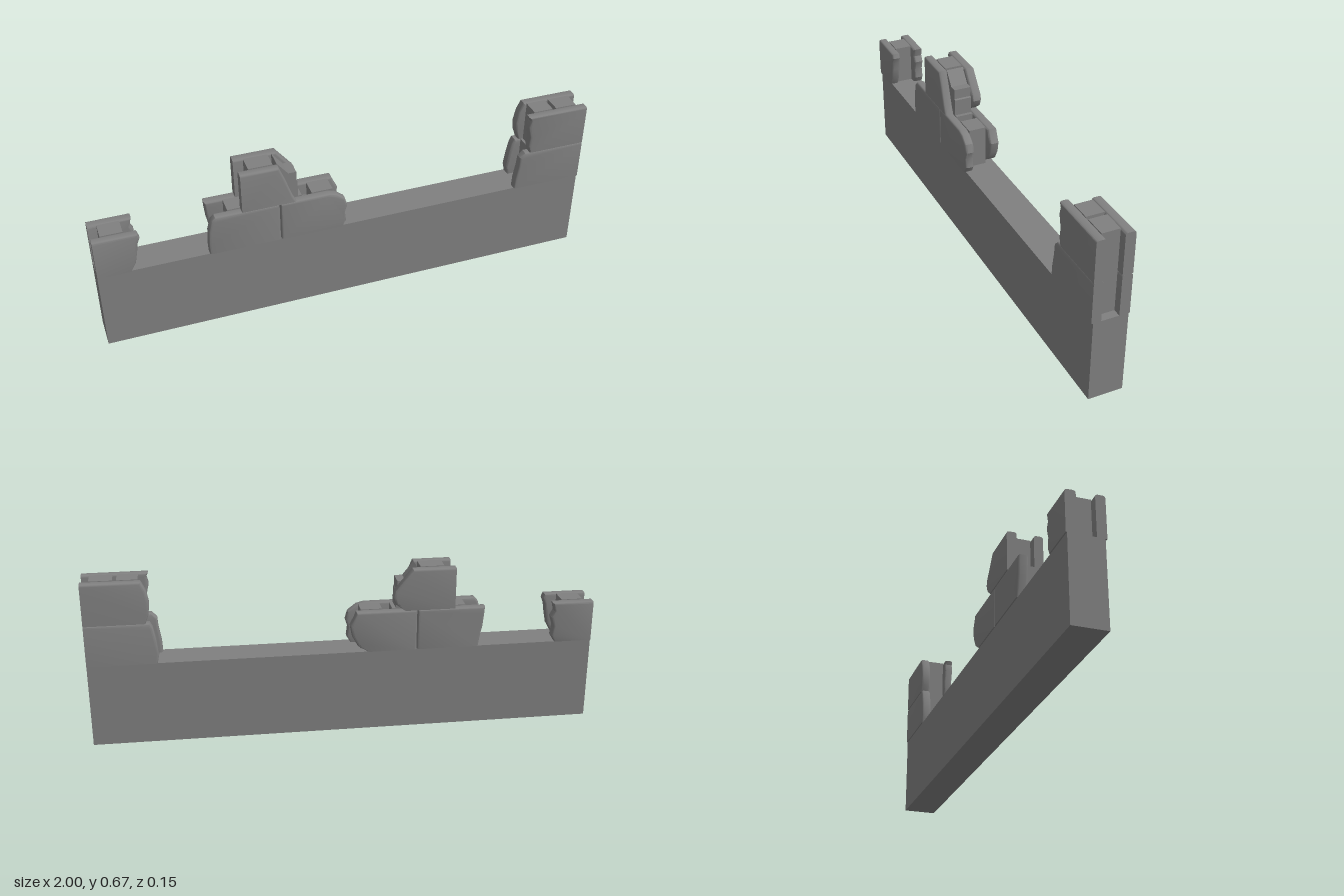
import * as THREE from 'three';
import { toCreasedNormals } from 'three/addons/utils/BufferGeometryUtils.js';

const BASE_TOP = 0.335, MID = 0.5, TOP = 0.667;
const FRONT = [0.037, 0.074], BACK = [-0.072, -0.032], CORE = [-0.033, 0.038];

export function createModel() {
  const model = new THREE.Group();
  model.name = 'brokenBlockWall';
  const concrete = new THREE.MeshStandardMaterial({ color: 0x808080 });
  concrete.name = 'concrete grey';

  // Slab cut from an [x, y] outline; worn edges are rounded, while
  // edges at the flush x and the slab's foot stay crisp.
  function slab(parent, name, points, [z0, z1], bevel = 0.009, flushX = null) {
    const shape = new THREE.Shape(points.map(([x, y]) => new THREE.Vector2(x, y)));
    const geo = new THREE.ExtrudeGeometry(shape, {
      depth: z1 - z0 - 2 * bevel, bevelEnabled: bevel > 0, bevelThickness: bevel,
      bevelSize: bevel, bevelOffset: -bevel, bevelSegments: 3,
    });
    geo.translate(0, 0, z0 + bevel);
    const foot = Math.min(...points.map((p) => p[1]));
    const pos = geo.attributes.position;
    for (let i = 0; i < pos.count; i++) {
      if (flushX !== null && Math.abs(pos.getX(i) - flushX) < bevel + 0.002) pos.setX(i, flushX);
      if (pos.getY(i) < foot + bevel + 0.001) pos.setY(i, foot);
    }
    const mesh = new THREE.Mesh(toCreasedNormals(geo, 0.6), concrete);
    mesh.name = name;
    parent.add(mesh);
  }

  // Block with a front and back shell, and cores standing on a lower broken fill
  function block(name, { front, back, cores, y0, y1, flushX = null }) {
    const group = new THREE.Group();
    group.name = name;
    slab(group, 'frontShell', front, FRONT, 0.009, flushX);
    slab(group, 'backShell', back, BACK, 0.009, flushX);
    const rect = (a, b, top) => [[a, y0], [b, y0], [b, top], [a, top]];
    cores.forEach(([a, b, slope = 0]) => slab(group, 'core',
      [[a, y0], [b, y0], [b, y1 - slope], [a, y1]], CORE, 0));
    slab(group, 'coreFill', rect(cores[0][0] + 0.004, cores.at(-1)[1] - 0.004, y1 - 0.055), CORE, 0);
    model.add(group);
  }

  // Solid foundation
  const base = new THREE.Mesh(new THREE.BoxGeometry(2, BASE_TOP, 0.135), concrete);
  base.name = 'base';
  base.position.y = BASE_TOP / 2;
  model.add(base);

  // Right end of the wall, one block
  block('rightEndBlock', {
    y0: BASE_TOP, y1: MID, flushX: -1,
    front: [[-1, BASE_TOP], [-0.87, BASE_TOP], [-0.85, 0.37], [-0.84, 0.42], [-0.835, 0.455], [-0.825, 0.48], [-0.832, MID], [-1, MID]],
    back: [[-1, BASE_TOP], [-0.85, BASE_TOP], [-0.836, 0.36], [-0.842, 0.40], [-0.83, 0.44], [-0.843, 0.465], [-0.835, MID], [-1, MID]],
    cores: [[-0.965, -0.88]],
  });

  // Middle remnant, lower course
  block('middleLowerRightBlock', {
    y0: BASE_TOP, y1: MID,
    front: [[-0.287, BASE_TOP], [-0.57, BASE_TOP], [-0.572, 0.38], [-0.568, 0.44], [-0.555, 0.485], [-0.54, MID], [-0.287, MID]],
    back: [[-0.287, BASE_TOP], [-0.535, BASE_TOP], [-0.54, 0.37], [-0.55, 0.42], [-0.555, 0.47], [-0.557, MID], [-0.287, MID]],
    cores: [[-0.485, -0.41], [-0.39, -0.302]],
  });
  block('middleLowerLeftBlock', {
    y0: BASE_TOP, y1: MID,
    front: [[-0.285, BASE_TOP], [-0.035, BASE_TOP], [-0.02, 0.36], [-0.025, 0.40], [-0.015, 0.43], [-0.025, 0.465], [-0.06, 0.492], [-0.09, MID], [-0.285, MID]],
    back: [[-0.285, BASE_TOP], [-0.09, BASE_TOP], [-0.05, 0.36], [-0.028, 0.40], [-0.02, 0.445], [-0.035, 0.475], [-0.045, MID], [-0.285, MID]],
    cores: [[-0.28, -0.19], [-0.15, -0.065]],
  });

  // Middle remnant, upper course
  block('middleUpperBlock', {
    y0: MID, y1: TOP, flushX: -0.435,
    front: [[-0.435, MID], [-0.22, MID], [-0.235, 0.53], [-0.262, 0.61], [-0.285, TOP], [-0.435, TOP]],
    back: [[-0.435, MID], [-0.235, MID], [-0.2, 0.525], [-0.188, 0.555], [-0.195, 0.58], [-0.265, TOP], [-0.435, TOP]],
    cores: [[-0.395, -0.3], [-0.285, -0.205, 0.1]],
  });

  // Left end of the wall, two courses
  block('leftEndLowerBlock', {
    y0: BASE_TOP, y1: MID, flushX: 1,
    front: [[1, BASE_TOP], [0.71, BASE_TOP], [0.712, 0.38], [0.722, 0.44], [0.725, 0.48], [0.745, MID], [1, MID]],
    back: [[1, BASE_TOP], [0.73, BASE_TOP], [0.722, 0.37], [0.73, 0.43], [0.74, 0.48], [0.75, MID], [1, MID]],
    cores: [[0.775, 0.865], [0.88, 0.968]],
  });
  block('leftEndUpperBlock', {
    y0: MID, y1: TOP, flushX: 1,
    front: [[1, MID], [0.765, MID], [0.755, 0.53], [0.76, 0.57], [0.748, 0.62], [0.755, 0.65], [0.748, TOP], [1, TOP]],
    back: [[1, MID], [0.765, MID], [0.752, 0.535], [0.747, 0.58], [0.757, 0.63], [0.775, TOP], [1, TOP]],
    cores: [[0.785, 0.865], [0.88, 0.968]],
  });

  return model;
}
